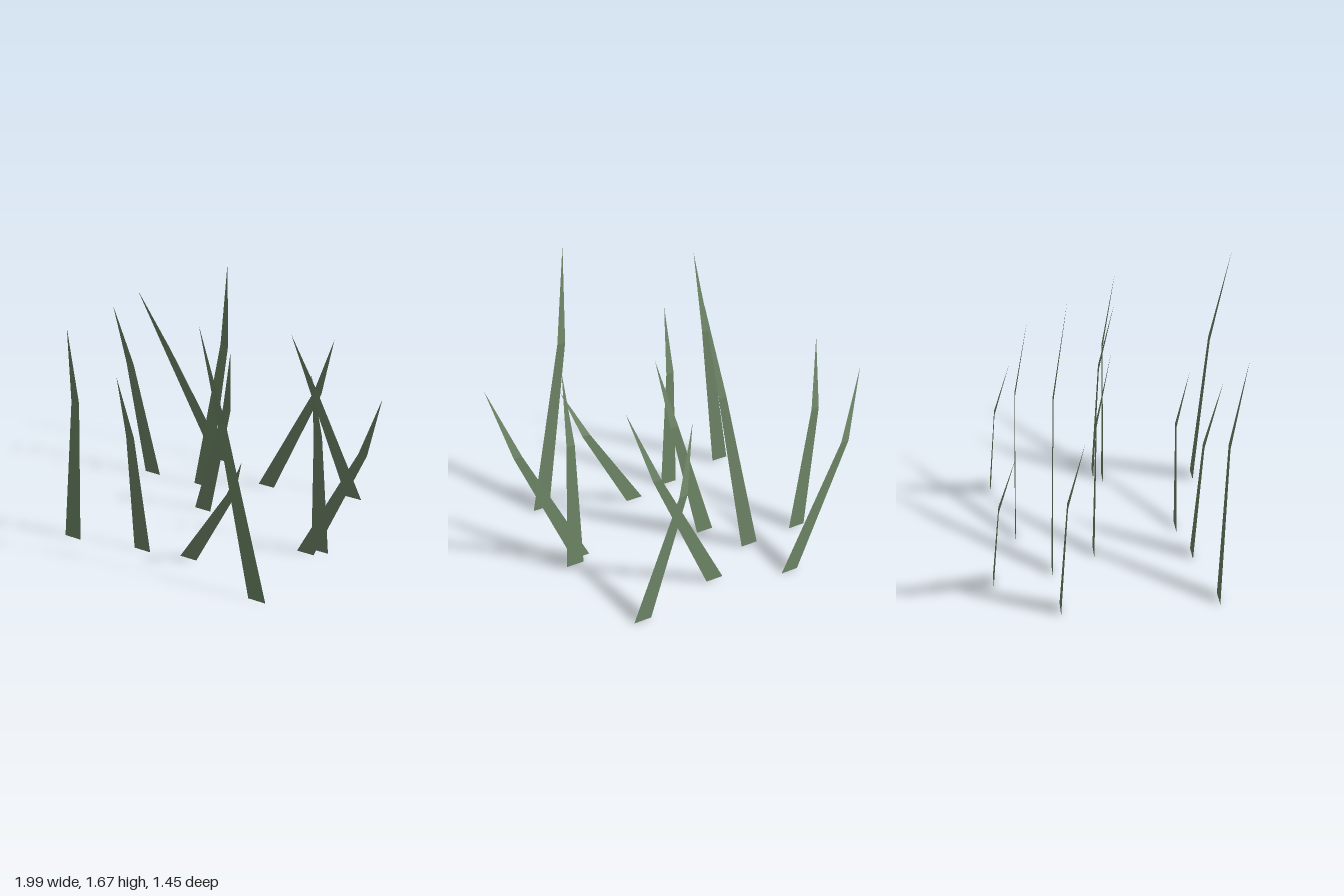
import * as THREE from 'three';

// Each blade: [root x, root z, tip x, height]
const BLADES = [
  [-0.48, -0.73, -0.995, 1.15],
  [0.49, -0.705, 0.1, 1.09],
  [-0.06, -0.578, 0.44, 1.18],
  [-0.78, -0.37, -0.945, 1.19],
  [-0.425, -0.387, -0.16, 1.6],
  [-0.27, -0.13, 0.0, 1.175],
  [0.572, -0.048, 0.55, 1.21],
  [0.505, 0.008, 0.995, 1.19],
  [-0.07, 0.388, 0.355, 0.82],
  [0.485, 0.58, 0.21, 1.67],
  [-0.79, 0.525, -0.65, 1.455],
  [-0.352, 0.443, -0.395, 1.18],
];

// Thin ribbon: wide root, narrower bend, pointed tip curling forward
function bladeGeometry(lean, height) {
  const rootHalf = 0.054, bendHalf = 0.026;
  const bendX = lean * 0.72, bendY = height * 0.65, bendZ = 0.041;
  const geometry = new THREE.BufferGeometry();
  geometry.setAttribute('position', new THREE.Float32BufferAttribute([
    -rootHalf, 0, 0,
    rootHalf, 0, 0,
    bendX - bendHalf, bendY, bendZ,
    bendX + bendHalf, bendY, bendZ,
    lean, height, 0.135,
  ], 3));
  geometry.setIndex([0, 1, 3, 0, 3, 2, 2, 3, 4]);
  geometry.computeVertexNormals();
  return geometry;
}

export function createModel() {
  const group = new THREE.Group();
  group.name = 'grassTuft';
  const material = new THREE.MeshStandardMaterial({
    color: 0x6f8768, flatShading: true, side: THREE.DoubleSide,
  });
  BLADES.forEach(([x, z, tipX, height], i) => {
    const blade = new THREE.Mesh(bladeGeometry(tipX - x, height), material);
    blade.name = `grassBlade${i + 1}`;
    blade.position.set(x, 0, z);
    group.add(blade);
  });
  return group;
}
